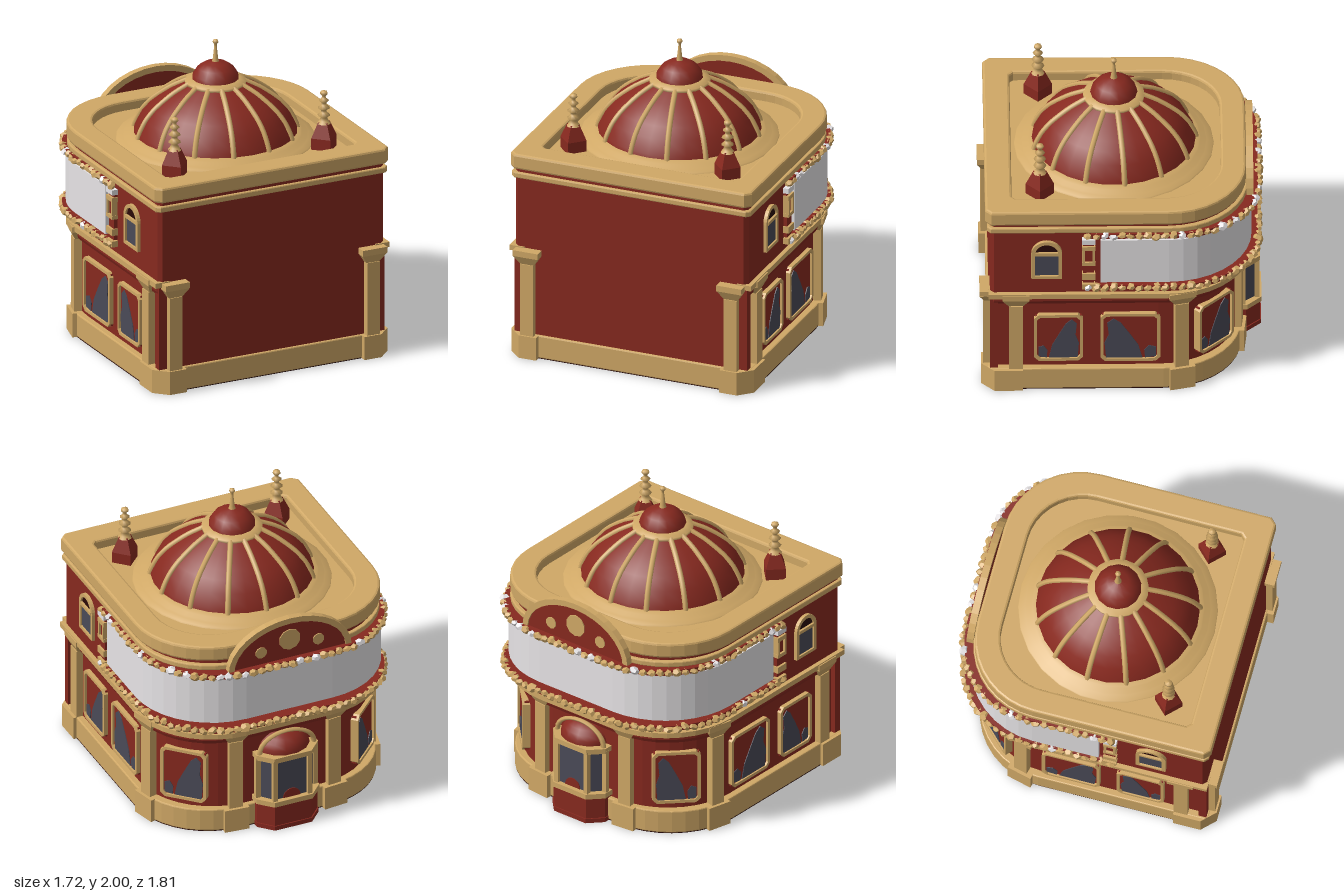
import * as THREE from 'three';

const mat = (name, color) => Object.assign(new THREE.MeshStandardMaterial({ color }), { name });
const red = mat('brick red', 0x87291f);
const gold = mat('sandy gold', 0xd0a866);
const glass = mat('dark glass', 0x4a4a57);
const white = mat('pale panel', 0xece9eb);
const dark = mat('dark base', 0x2a0907);

export function createModel() {
  const root = new THREE.Group();
  let seed = 7;
  const rand = () => (seed = (seed * 16807) % 2147483647) / 2147483647;
  const add = (name, geo, m, parent = root) => {
    const mesh = new THREE.Mesh(geo, m);
    mesh.name = name;
    parent.add(mesh);
    return mesh;
  };
  const box = (name, w, h, d, x, y, z, m, parent) => {
    const b = add(name, new THREE.BoxGeometry(w, h, d), m, parent);
    b.position.set(x, y, z);
    return b;
  };
  // Four-sided tapered block with flat faces
  const taper = (rTop, rBottom, h) => {
    const g = new THREE.CylinderGeometry(rTop, rBottom, h, 4).toNonIndexed();
    g.computeVertexNormals();
    return g;
  };
  // Turn a part so its local +z points along (nx, nz)
  const place = (o, x, y, z, nx, nz) => {
    o.position.set(x, y, z);
    o.rotation.y = Math.atan2(nx, nz);
    root.add(o);
  };

  // Plan outlines are stored as (x, -z); the back corners are wide arcs
  const uPath = (x, zb, zs, r = 0.5, n = 9) => {
    const half = [[x, zs]];
    for (let i = 0; i <= n; i++) {
      const a = (i / n) * Math.PI / 2;
      half.push([x - r + r * Math.cos(a), zb + r - r * Math.sin(a)]);
    }
    return [...half, ...half.map(([px, pz]) => [-px, pz]).reverse()].map(([px, pz]) => new THREE.Vector2(px, -pz));
  };
  const loop = (x, zf, zb, r = 0.5, c = 0.025) => [
    ...uPath(x, zb, zf - c, r), new THREE.Vector2(-x + c, -zf), new THREE.Vector2(x - c, -zf)];
  const slabGeo = (pts, y0, y1, hole, b = 0) => {
    const s = new THREE.Shape(pts);
    if (hole) s.holes.push(new THREE.Path(hole));
    const g = new THREE.ExtrudeGeometry(s, {
      depth: y1 - y0 - 2 * b, bevelEnabled: b > 0, bevelSize: b, bevelThickness: b, bevelOffset: -b, bevelSegments: 2 });
    return g.rotateX(-Math.PI / 2).translate(0, y0 + b, 0);
  };
  const band = (x, zb, zs, t, y0, y1) =>
    slabGeo([...uPath(x, zb, zs, 0.53), ...uPath(x - t, zb + t, zs, 0.53 - t).reverse()], y0, y1);

  // Main storeys
  add('underside', slabGeo(loop(0.812, 0.85, -0.757), 0, 0.01), dark);
  add('plinth', slabGeo(loop(0.815, 0.855, -0.76), 0.004, 0.16, null, 0.008), gold);
  add('lowerWall', slabGeo(loop(0.77, 0.835, -0.73), 0.15, 0.74), red);
  add('soffit', slabGeo(loop(0.805, 0.84, -0.775), 0.65, 0.75, null, 0.035), red);
  add('frontWall', new THREE.BoxGeometry(1.6, 0.6, 0.05).translate(0, 0.45, 0.815), red);
  add('upperWall', slabGeo(loop(0.8, 0.84, -0.78), 0.73, 1.32), red);
  add('midLedge', band(0.83, -0.82, 0.85, 0.1, 0.72, 0.755), gold);
  add('lowerCornice', slabGeo(loop(0.822, 0.857, -0.8), 1.23, 1.27, null, 0.008), gold);

  // Parapet and sunken roof
  add('parapet', slabGeo(loop(0.83, 0.87, -0.79, 0.5, 0.04), 1.295, 1.4, loop(0.67, 0.7, -0.63, 0.36), 0.015), gold);
  add('roofFloor', slabGeo(loop(0.7, 0.74, -0.68, 0.4), 1.3, 1.335), gold);

  // Ribbed dome with a lantern cap and finial
  const dome = new THREE.Group();
  dome.name = 'dome';
  dome.position.z = 0.045;
  root.add(dome);
  const lathe = (name, pts, n, m, parent = dome) =>
    add(name, new THREE.LatheGeometry(pts.map(p => new THREE.Vector2(...p)), n), m, parent);
  lathe('domeSkirt', [[0.64, 1.32], [0.63, 1.345], [0.59, 1.35], [0.585, 1.365], [0.55, 1.37], [0.545, 1.385], [0.5, 1.39]], 26, gold);
  const profile = [[0.525, 1.37], [0.515, 1.41], [0.47, 1.5], [0.415, 1.565], [0.36, 1.61], [0.28, 1.665], [0.18, 1.715]];
  lathe('domeShell', profile, 26, red);
  const rib = new THREE.TubeGeometry(new THREE.CatmullRomCurve3(
    profile.map(([r, y]) => new THREE.Vector3(0, y, -r))), 14, 0.018, 6);
  for (let i = 0; i < 13; i++) add('domeRib', rib, gold, dome).rotation.y = (i / 13) * Math.PI * 2;
  lathe('lanternRing', [[0.17, 1.7], [0.195, 1.705], [0.195, 1.725], [0.15, 1.74], [0.13, 1.735]], 20, gold);
  lathe('lanternCap', [[0.152, 1.73], [0.145, 1.765], [0.115, 1.81], [0.07, 1.84], [0, 1.857]], 14, red);
  lathe('finial', [[0.025, 1.845], [0.018, 1.87], [0.009, 1.95], [0.009, 1.965], [0.019, 1.98], [0.017, 1.993], [0, 2]], 8, gold);

  // Corner spires
  for (const s of [-1, 1]) {
    const spire = new THREE.Group();
    spire.name = 'cornerSpire';
    spire.position.set(s * 0.53, 0, 0.52);
    root.add(spire);
    add('spireBase', taper(0.09, 0.09, 0.08).translate(0, 1.37, 0), red, spire);
    add('spirePyramid', taper(0.042, 0.09, 0.1).translate(0, 1.46, 0), red, spire);
    lathe('spindle', [[0.045, 1.5], [0.03, 1.52], [0.02, 1.54], [0.042, 1.555], [0.02, 1.575], [0.018, 1.59], [0.04, 1.605],
      [0.018, 1.625], [0.016, 1.64], [0.033, 1.655], [0.015, 1.67], [0.012, 1.685], [0.026, 1.7], [0.022, 1.715], [0, 1.722]], 8, gold, spire);
  }

  // Curved pale panel between two rows of rough stones
  add('curvedPanel', band(0.83, -0.825, 0.14, 0.05, 0.85, 1.18), white);
  const stone = new THREE.DodecahedronGeometry(1, 0);
  for (const y of [0.81, 1.215]) {
    add('stoneBacking', band(0.836, -0.865, 0.2, 0.08, y - 0.018, y + 0.018), red);
    new THREE.Path(uPath(0.828, -0.868, 0.22, 0.53)).getSpacedPoints(62).forEach(p => {
      const m = add('stone', stone, rand() < (y > 1 ? 0.13 : 0.04) ? white : gold);
      m.position.set(p.x, y + (rand() - 0.5) * 0.012, -p.y);
      m.scale.set(0.026 + rand() * 0.012, 0.02 + rand() * 0.008, 0.026 + rand() * 0.012);
      m.rotation.set(rand() * 0.6, rand() * 6, rand() * 0.6);
    });
  }

  // Window helpers, facing local +z
  const poly = pts => new THREE.Shape(pts.map(p => new THREE.Vector2(...p)));
  const extrude = (s, depth, z) => new THREE.ExtrudeGeometry(s, { depth, bevelEnabled: false, curveSegments: 8 }).translate(0, 0, z);
  const rect = (w, h, c) => [[-w + c, -h], [w - c, -h], [w, -h + c], [w, h - c], [w - c, h], [-w + c, h], [-w, h - c], [-w, -h + c]];
  const shopWindow = (w, h, flip) => {
    const g = new THREE.Group();
    g.name = 'shopWindow';
    const frame = poly(rect(w, h, 0.03));
    frame.holes.push(poly(rect(w - 0.02, h - 0.02, 0.02)));
    add('windowFrame', extrude(frame, 0.085, -0.06), gold, g);
    box('curtain', 2 * w - 0.02, 2 * h - 0.02, 0.06, 0, 0, -0.02, red, g);
    const a = (w - 0.02) * flip, b = h - 0.02;
    const panes = [
      [[-0.45, -1], [0.9, -1], [0.96, -0.3], [0.8, 0.1], [0.86, 0.65], [0.62, 0.85], [0.35, 0.65], [0, 0.1], [-0.3, -0.4]],
      [[-0.95, -0.95], [-0.55, -1], [-0.52, -0.65], [-0.7, -0.42], [-0.95, -0.5]]];
    for (const pane of panes) add('pane', extrude(poly(pane.map(([x, y]) => [x * a, y * b])), 0.005, 0.01), glass, g);
    return g;
  };
  const archShape = (w, y0, y1) => {
    const s = new THREE.Shape();
    s.moveTo(-w, y0);
    s.lineTo(w, y0);
    s.lineTo(w, y1);
    s.absarc(0, y1, w, 0, Math.PI, false);
    s.closePath();
    return s;
  };
  const archWindow = () => {
    const g = new THREE.Group();
    g.name = 'archWindow';
    const frame = archShape(0.098, -0.14, 0.05);
    frame.holes.push(archShape(0.074, -0.12, 0.05));
    add('archFrame', extrude(frame, 0.04, -0.02), gold, g);
    box('archPane', 0.16, 0.175, 0.008, 0, -0.04, 0.004, glass, g);
    box('archBar', 0.15, 0.022, 0.025, 0, 0.05, 0.01, gold, g);
    add('archFan', extrude(archShape(0.075, 0.045, 0.05), 0.006, 0.001), dark, g);
    return g;
  };

  // Columns, facing local +z
  const column = (base = true) => {
    const g = new THREE.Group();
    g.name = 'column';
    if (base) box('columnBase', 0.165, 0.16, 0.12, 0, 0.08, 0, gold, g);
    box('shaft', 0.09, 0.5, 0.08, 0, 0.4, 0, gold, g);
    const cap = taper(0.122, 0.066, 0.06).rotateY(Math.PI / 4);
    add('capital', cap.scale(1, 1, 0.72).translate(0, 0.68, 0), gold, g);
    box('capitalSlab', 0.172, 0.04, 0.125, 0, 0.728, 0, gold, g);
    return g;
  };

  const k = Math.SQRT1_2;
  for (const s of [-1, 1]) {
    place(archWindow(), s * 0.803, 1.015, 0.48, s, 0);
    place(shopWindow(0.155, 0.18, s), s * 0.775, 0.39, 0.405, s, 0);
    place(shopWindow(0.19, 0.185, -s), s * 0.775, 0.39, -0.05, s, 0);
    place(shopWindow(0.155, 0.185, s), s * 0.623, 0.39, -0.583, s * k, -k);
    place(column(false), s * 0.7, 0, 0.843, 0, 1);
    place(column(false), s * 0.775, 0, 0.675, s, 0);
    const corner = [[0.63, 0.63], [0.835, 0.63], [0.835, 0.81], [0.75, 0.895], [0.63, 0.895]];
    add('cornerBase', slabGeo(corner.map(([x, z]) => new THREE.Vector2(s * x, -z)), 0.002, 0.158), gold);
    place(column(), s * 0.762, 0, -0.37, s * 0.97, -0.24);
    place(column(), s * 0.34, 0, -0.725, s * 0.1, -1);
    // Bracket stack closing the end of the pale panel
    box('bracketPanel', 0.04, 0.34, 0.07, s * 0.805, 1.015, 0.215, red);
    for (const [y, h] of [[0.82, 0.04], [0.9, 0.045], [1.0, 0.025], [1.12, 0.03], [1.17, 0.035]])
      box('bracket', 0.07, h, 0.085, s * 0.805, y, 0.215, y > 1.15 ? white : gold);
    for (const z of [0.183, 0.247]) box('bracketEdge', 0.06, 0.14, 0.016, s * 0.81, 1.06, z, gold);
  }

  // Arched crest above the back
  const crest = new THREE.Group();
  crest.name = 'backCrest';
  place(crest, 0, 1.22, -0.81, 0, -1);
  const arc = (rx, ry) => Array.from({ length: 17 }, (_, i) => [rx * Math.cos(i * Math.PI / 16), ry * Math.sin(i * Math.PI / 16)]);
  add('crestRim', extrude(poly([...arc(0.43, 0.31), ...arc(0.39, 0.27).reverse()]), 0.045, -0.02), gold, crest);
  add('crestFace', extrude(poly(arc(0.4, 0.28)), 0.025, -0.01), red, crest);
  for (const [x, y, r] of [[0, 0.15, 0.075], [-0.2, 0.1, 0.04], [0.2, 0.1, 0.04]])
    add('crestDisc', new THREE.CylinderGeometry(r, r, 0.008, 10).rotateX(Math.PI / 2).translate(x, y, 0.018), gold, crest);

  // Projecting bay at the back
  const bayPlan = (w, z) => [[-w, 0.68], [w, 0.68], [w, z - 0.09], [w * 0.6, z], [-w * 0.6, z], [-w, z - 0.09]].map(p => new THREE.Vector2(...p));
  add('bayBase', slabGeo(bayPlan(0.21, 0.88), 0.005, 0.19), red);
  add('bayFoot', slabGeo(bayPlan(0.215, 0.887), 0, 0.03), red);
  add('baySill', slabGeo(bayPlan(0.22, 0.89), 0.175, 0.21), gold);
  add('bayGlass', slabGeo(bayPlan(0.195, 0.855), 0.2, 0.52), glass);
  add('bayHead', slabGeo(bayPlan(0.215, 0.88), 0.495, 0.53), gold);
  bayPlan(0.2, 0.862).slice(2).forEach(p => box('bayPost', 0.032, 0.31, 0.032, p.x, 0.355, -p.y, gold));
  const drape = new THREE.Shape().absarc(0, 0, 0.06, 0, Math.PI, false);
  add('bayDrape', extrude(drape, 0.006, 0).translate(0, 0.21, -0.86).rotateY(0), red).material.side = THREE.DoubleSide;
  const hood = new THREE.SphereGeometry(1, 14, 6, 0, Math.PI * 2, 0, Math.PI / 2);
  add('bayHood', hood.scale(0.18, 0.13, 0.16).translate(0, 0.525, -0.71), red);
  add('bayHoodRim', new THREE.TorusGeometry(0.19, 0.018, 5, 14, Math.PI).scale(1, 0.68, 1).translate(0, 0.53, -0.78), gold);

  return root;
}
